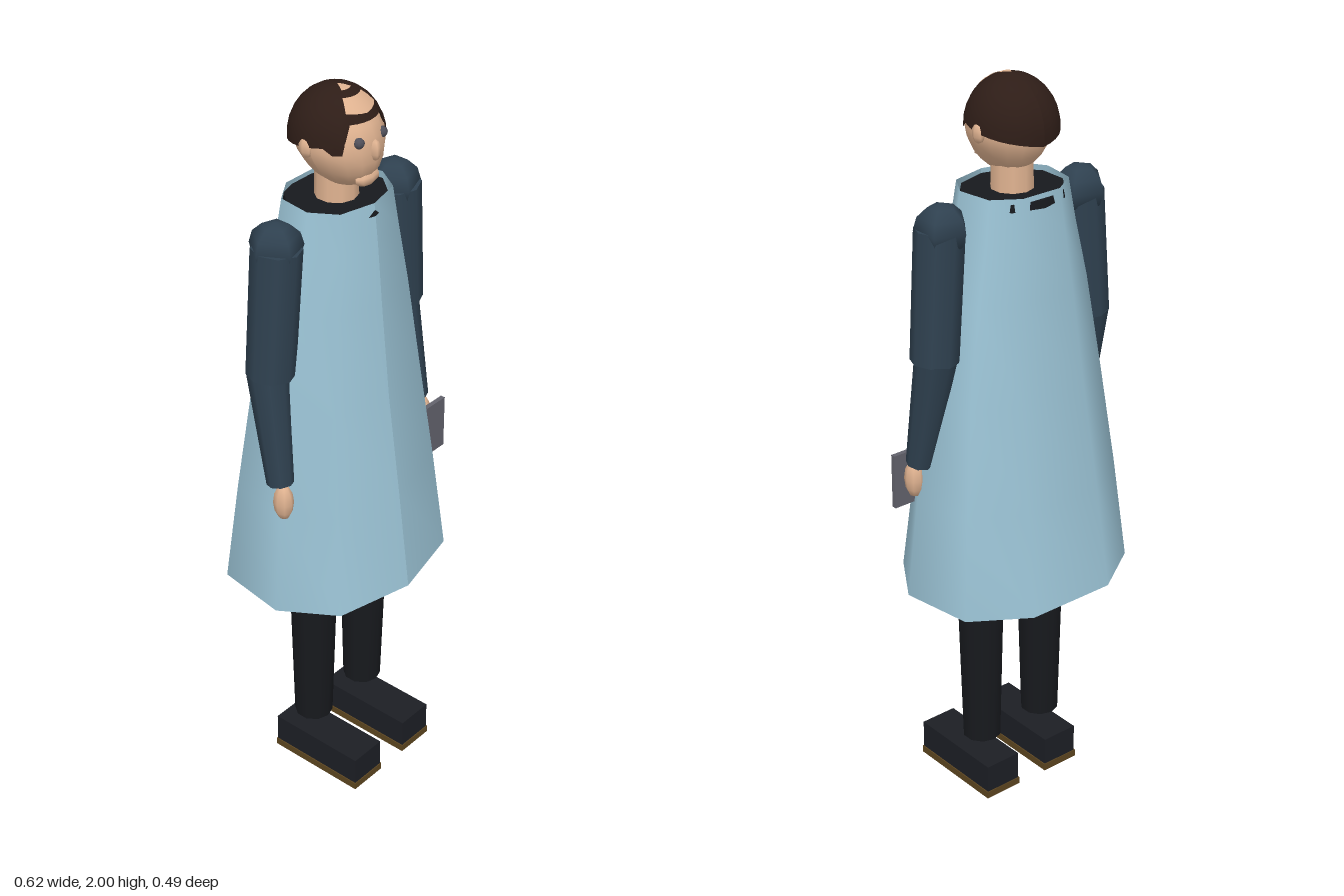
import * as THREE from 'three';

const mat = (color, side = THREE.FrontSide, flatShading = false) =>
  new THREE.MeshStandardMaterial({ color, side, flatShading });
const COAT = mat(0x9bc3d5, THREE.DoubleSide);
const SLEEVE = mat(0x2f4150);
const TROUSER = mat(0x17191d);
const SHOE = mat(0x1c1e24);
const SOLE = mat(0x5c4520);
const SKIN = mat(0xdfb290);
const SKIN_PATCH = mat(0xdfb290, THREE.DoubleSide);
const HAIR = mat(0x2e1d17, THREE.DoubleSide);
const EYE = mat(0x50505a);
const TABLET = mat(0x62626c, THREE.FrontSide, true);

// Grid surface from a function (row, column) -> [x, y, z]; rows run downwards.
function loft(rows, cols, fn) {
  const pos = [], idx = [];
  for (let i = 0; i <= rows; i++) {
    for (let j = 0; j <= cols; j++) pos.push(...fn(i, j));
  }
  for (let i = 0; i < rows; i++) {
    for (let j = 0; j < cols; j++) {
      const a = i * (cols + 1) + j, b = a + cols + 1;
      idx.push(a, b, b + 1, a, b + 1, a + 1);
    }
  }
  const g = new THREE.BufferGeometry();
  g.setAttribute('position', new THREE.Float32BufferAttribute(pos, 3));
  g.setIndex(idx);
  g.computeVertexNormals();
  return g;
}

// Part of an ellipsoid around the skull; angle 0 faces the front.
function skullPatch(a0, a1, top, bottom, rows, cols, grow = 1) {
  return loft(rows, cols, (i, j) => {
    const a = a0 + (a1 - a0) * j / cols;
    const t = top + (bottom(a) - top) * i / rows;
    return [
      0.115 * grow * Math.sin(t) * Math.sin(a),
      1.87 + 0.13 * grow * Math.cos(t),
      -0.004 + 0.122 * grow * Math.sin(t) * Math.cos(a),
    ];
  });
}

export function createModel() {
  const model = new THREE.Group();
  const add = (name, geo, material, x = 0, y = 0, z = 0) => {
    const m = new THREE.Mesh(geo, material);
    m.name = name;
    m.position.set(x, y, z);
    model.add(m);
    return m;
  };
  const ball = (name, material, p, r, w = 10, h = 8) => {
    const m = add(name, new THREE.SphereGeometry(1, w, h), material, ...p);
    m.scale.set(...r);
    return m;
  };
  // Tapered limb between two points.
  const limb = (name, material, from, to, r0, r1, sides) => {
    const a = new THREE.Vector3(...from), b = new THREE.Vector3(...to);
    const dir = a.clone().sub(b);
    const m = add(name, new THREE.CylinderGeometry(r0, r1, dir.length(), sides), material);
    m.position.copy(a).add(b).multiplyScalar(0.5);
    m.quaternion.setFromUnitVectors(new THREE.Vector3(0, 1, 0), dir.normalize());
  };

  // Long coat: nine-sided, split normals at the front seam
  const hem = [[0, 0.243], [0.213, 0.193], [0.305, 0.05], [0.275, -0.15], [0.127, -0.246]];
  const outline = [...hem, ...hem.slice(1).reverse().map(([x, z]) => [-x, z]), hem[0]];
  const levels = [ // height, width scale, depth scale
    [1.725, 0.46, 0.47], [1.62, 0.52, 0.52], [1.46, 0.64, 0.58],
    [1.2, 0.78, 0.69], [0.92, 0.9, 0.85], [0.64, 1, 1],
  ];
  add('coat', loft(levels.length - 1, outline.length - 1, (i, j) => {
    const [y, sx, sz] = levels[i];
    return [outline[j][0] * sx, y, outline[j][1] * sz];
  }), COAT);

  // Shirt under the coat
  add('torso', new THREE.CylinderGeometry(0.125, 0.14, 0.82, 10), SLEEVE, 0, 1.29, 0).scale.z = 0.8;
  add('collar', new THREE.CylinderGeometry(0.138, 0.142, 0.02, 10), TROUSER, 0, 1.702, -0.006).scale.z = 0.88;
  add('neck', new THREE.CylinderGeometry(0.053, 0.056, 0.14, 10), SKIN, 0, 1.74, -0.005);

  // Head, narrowing to the chin
  const headGeo = new THREE.SphereGeometry(1, 16, 12);
  const p = headGeo.attributes.position;
  for (let i = 0; i < p.count; i++) {
    const low = Math.max(0, -p.getY(i));
    p.setXYZ(i, p.getX(i) * (1 - 0.25 * low) * 0.108, p.getY(i) * 0.115, p.getZ(i) * 0.113 + 0.015 * low);
  }
  headGeo.computeVertexNormals();
  add('head', headGeo, SKIN, 0, 1.865, 0.004);

  // Hair with sideburns and thin spots
  const hairEdge = (a) => {
    const d = Math.abs(a);
    const y = d < 0.68 ? 1.938 : d < 1.15 ? 1.868 : 1.885 - 0.04 * (d - 1.15) / 2;
    return Math.acos((y - 1.87) / 0.13);
  };
  add('hair', skullPatch(-Math.PI, Math.PI, 0.001, hairEdge, 8, 32), HAIR);
  add('foreheadPatch', skullPatch(-0.65, 0.65, 0.48, (a) => 0.88 - 0.1 * Math.abs(a), 2, 6, 1.012), SKIN_PATCH);
  add('crownPatch', skullPatch(-0.55, 0.55, 0.02, () => 0.28, 2, 4, 1.008), SKIN_PATCH);

  // Face
  ball('nose', SKIN, [0, 1.865, 0.114], [0.014, 0.028, 0.016], 6, 5);
  ball('mouth', SKIN, [0, 1.787, 0.09], [0.042, 0.02, 0.02], 8, 5);
  for (const s of [1, -1]) {
    ball('eye', EYE, [s * 0.042, 1.893, 0.1], [0.014, 0.014, 0.014], 8, 6);
    ball('ear', SKIN, [s * 0.107, 1.872, -0.008], [0.014, 0.026, 0.02], 6, 5);

    // Arm
    ball('shoulder', SLEEVE, [s * 0.22, 1.655, -0.006], [0.07, 0.066, 0.07], 5, 6);
    limb('upperArm', SLEEVE, [s * 0.223, 1.655, 0], [s * 0.248, 1.315, -0.004], 0.064, 0.062, 8);
    limb('forearm', SLEEVE, [s * 0.25, 1.325, -0.012], [s * 0.268, 1.02, 0.04], 0.054, 0.035, 8);
    ball('hand', SKIN, [s * 0.274, 0.972, 0.055], [0.025, 0.052, 0.028], 8, 6);

    // Leg and shoe
    limb('leg', TROUSER, [s * 0.103, 0.95, 0.004], [s * 0.103, 0.15, 0], 0.073, 0.052, 10);
    add('shoe', new THREE.BoxGeometry(0.106, 0.08, 0.285), SHOE, s * 0.102, 0.06, 0.053);
    add('sole', new THREE.BoxGeometry(0.112, 0.02, 0.29), SOLE, s * 0.102, 0.01, 0.053);
  }

  // Slate held at the left hand, tapered on its inner edge
  const slate = new THREE.Shape([[0.222, 1.025], [0.24, 0.875], [0.302, 0.875], [0.302, 1.025]]
    .map(([x, y]) => new THREE.Vector2(x, y)));
  add('slate', new THREE.ExtrudeGeometry(slate, { depth: 0.013, bevelEnabled: false }), TABLET, 0, 0, 0.1);

  return model;
}
